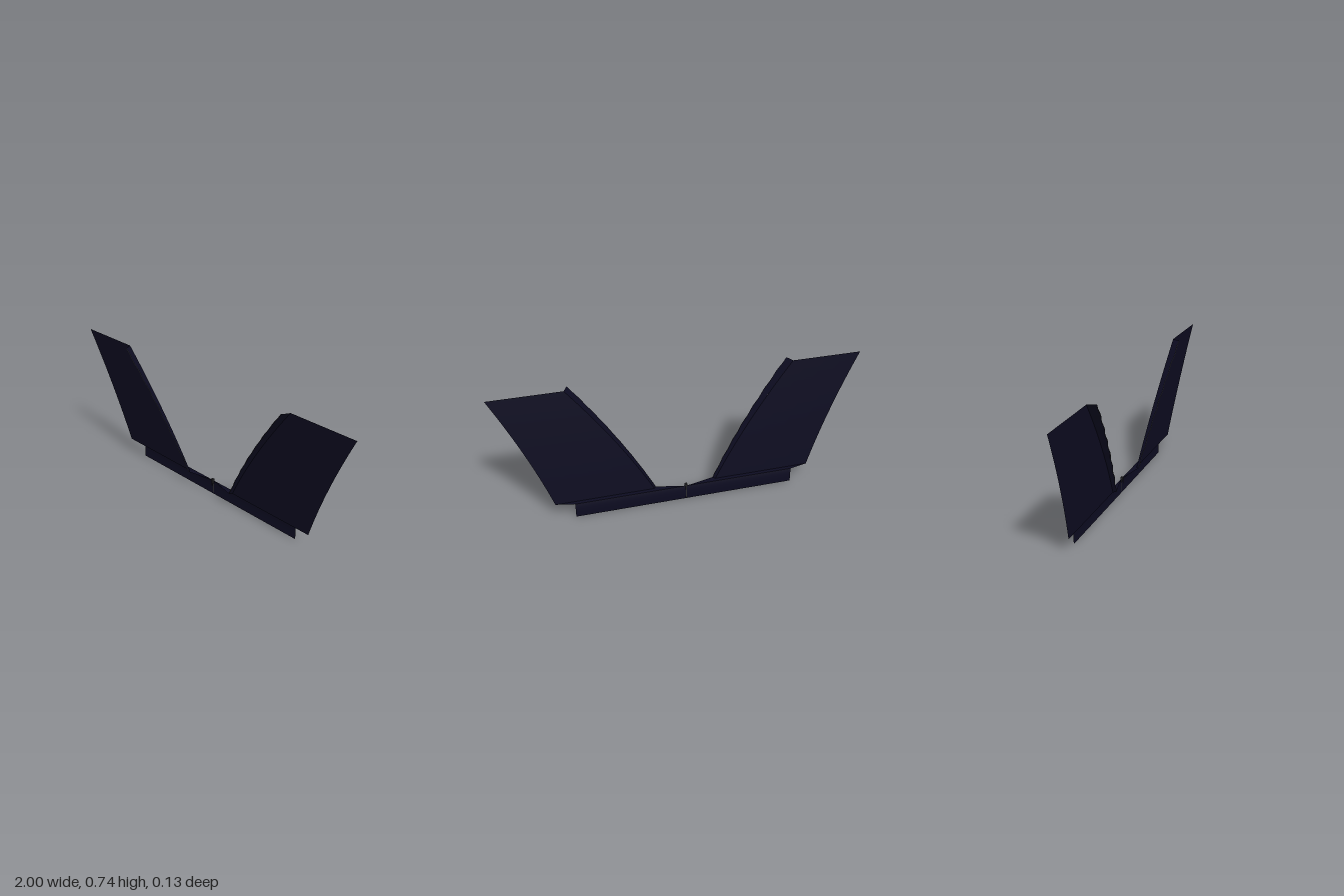
import * as THREE from 'three';

const cloth = new THREE.MeshStandardMaterial({ color: 0x0c0b20, side: THREE.DoubleSide });
cloth.name = 'dark navy cloth';
const metal = new THREE.MeshStandardMaterial({ color: 0x2a2a2e });
metal.name = 'dark grey metal';

const Y0 = 0.085, Y1 = 0.735;

// Grid surface from a rule f(u, v) -> [x, y, z]
function sheet(name, f, nu, nv) {
  const g = new THREE.PlaneGeometry(1, 1, nu, nv);
  const p = g.attributes.position;
  for (let i = 0; i < p.count; i++) p.setXYZ(i, ...f(p.getX(i) + 0.5, p.getY(i) + 0.5));
  g.computeVertexNormals();
  const m = new THREE.Mesh(g, cloth);
  m.name = name;
  return m;
}

// Edge curves, t = 0 at the bottom and 1 at the top
const height = t => Y0 + (Y1 - Y0) * t;
const innerX = t => 0.165 + 0.335 * t + 0.09 * t * t;
const outerX = t => 0.718 + 0.222 * t + 0.06 * t * t;
const panelZ = t => -0.04 + 0.059 * t;
const lipZ = t => -0.025 + 0.088 * t + 0.0025 * Math.sin(t * Math.PI * 14);
const foldX = t => innerX(t) + 0.01 + 0.012 * t;

function makeSide(s) {
  const side = new THREE.Group();
  side.name = s > 0 ? 'leftPanel' : 'rightPanel';

  // Main leaning sheet
  side.add(sheet('panelSheet', (u, v) => [
    s * THREE.MathUtils.lerp(foldX(v), outerX(v), s > 0 ? u : 1 - u), height(v), panelZ(v)], 4, 48));

  // Wavy lip folded forward along the inner edge
  side.add(sheet('innerLip', (u, v) => {
    const k = s > 0 ? u : 1 - u;
    return [s * THREE.MathUtils.lerp(innerX(v), foldX(v), k), height(v),
      THREE.MathUtils.lerp(lipZ(v), panelZ(v), k)];
  }, 2, 84));

  // Thin piping on the lip
  const pts = [];
  for (let i = 0; i <= 42; i++) {
    const t = i / 42;
    pts.push(new THREE.Vector3(s * innerX(t), height(t) - 0.002 * t, lipZ(t)));
  }
  const piping = new THREE.Mesh(
    new THREE.TubeGeometry(new THREE.CatmullRomCurve3(pts), 84, 0.0015, 5), metal);
  piping.name = 'lipPiping';
  side.add(piping);

  // Flat ledge joining the panel to the lower band
  const outline = [[0, -0.063], [0.165, -0.025], [0.175, -0.04], [0.718, -0.04], [0.615, -0.063]];
  const shape = new THREE.Shape(outline.map(([x, z]) => new THREE.Vector2(s * x, -z)));
  const ledge = new THREE.Mesh(new THREE.ShapeGeometry(shape).rotateX(-Math.PI / 2), cloth);
  ledge.position.y = Y0;
  ledge.name = 'ledge';
  side.add(ledge);
  return side;
}

function box(name, w, h, d, x, y, z) {
  const m = new THREE.Mesh(new THREE.BoxGeometry(w, h, d), metal);
  m.position.set(x, y, z);
  m.name = name;
  return m;
}

export function createModel() {
  const model = new THREE.Group();
  model.name = 'pairedPanels';
  model.add(makeSide(1), makeSide(-1));

  // Slightly bowed lower band
  model.add(sheet('lowerBand', (u, v) => [
    (u - 0.5) * 1.23, v * Y0, -0.063 - 0.002 * Math.sin(v * Math.PI) + 0.003 * v ** 4], 2, 10));

  // Centre clip over the band
  const clip = new THREE.Group();
  clip.name = 'centreClip';
  clip.add(
    box('clipCap', 0.014, 0.014, 0.012, 0, 0.09, -0.058),
    box('clipBody', 0.01, 0.02, 0.006, 0, 0.078, -0.06),
    box('clipPin', 0.004, 0.04, 0.002, 0, 0.078, -0.052),
    box('clipStrip', 0.006, 0.085, 0.002, 0, 0.05, -0.0645));
  model.add(clip);
  return model;
}
